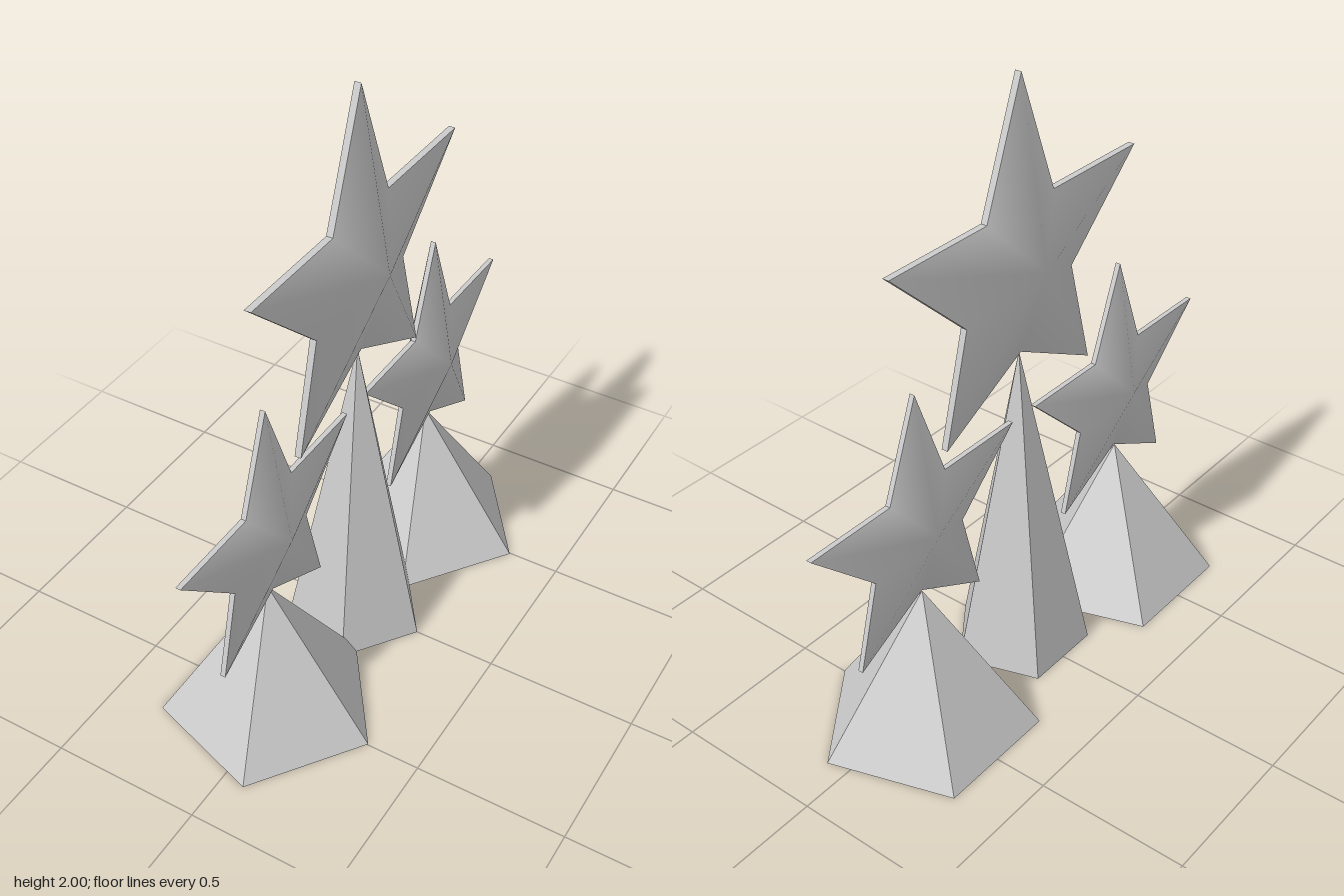
import * as THREE from 'three';

const grey = (extra) => new THREE.MeshStandardMaterial({ color: 0xcccccc, side: THREE.DoubleSide, ...extra });

// Half of the star outline (z, y) around its centre, from top tip to bottom notch
const HALF = [[0, 0.59], [0.155, 0.182], [0.565, 0.182], [0.25, -0.11], [0.348, -0.478], [0, -0.3]];
const OUTLINE = [...HALF, ...HALF.slice(1, -1).reverse().map(([z, y]) => [-z, y])];
const RIM = 0.011, PEAK = 0.107;

function build(positions, index) {
  const g = new THREE.BufferGeometry();
  g.setAttribute('position', new THREE.Float32BufferAttribute(positions, 3));
  g.setIndex(index);
  g.computeVertexNormals();
  return g;
}

// Softly shaded star face, raised to a peak in the middle; side is +1 or -1 along x
function starFace(side) {
  const pos = [side * PEAK, 0, 0], index = [], n = OUTLINE.length;
  OUTLINE.forEach(([z, y], i) => {
    pos.push(side * RIM, y, z);
    const a = 1 + i, b = 1 + (i + 1) % n;
    index.push(0, ...(side > 0 ? [b, a] : [a, b]));
  });
  return build(pos, index);
}

// Thin wall joining the two faces
function starRim() {
  const pos = [], index = [], n = OUTLINE.length;
  OUTLINE.forEach(([z, y], i) => {
    pos.push(RIM, y, z, -RIM, y, z);
    const a = 2 * i, b = 2 * ((i + 1) % n);
    index.push(a, b, a + 1, b, b + 1, a + 1);
  });
  return build(pos, index);
}

function star(name, x, y, z, scale) {
  const group = new THREE.Group();
  group.name = name;
  const add = (part, geometry, material) => {
    const mesh = new THREE.Mesh(geometry, material);
    mesh.name = part;
    group.add(mesh);
  };
  add('starLeftFace', starFace(1), grey());
  add('starRightFace', starFace(-1), grey());
  add('starRim', starRim(), grey({ flatShading: true }));
  group.position.set(x, y, z);
  group.scale.setScalar(scale);
  return group;
}

// Open five-sided pyramid with one corner towards +x
function pyramid(name, radius, height, x, z) {
  const geometry = new THREE.ConeGeometry(radius, height, 5, 1, true, Math.PI / 2);
  const mesh = new THREE.Mesh(geometry, grey({ flatShading: true }));
  mesh.name = name;
  mesh.position.set(x, height / 2, z);
  return mesh;
}

export function createModel() {
  const model = new THREE.Group();
  model.name = 'starTrophy';

  // Tall centre piece
  model.add(pyramid('centrePyramid', 0.233, 1.11, -0.012, 0));
  model.add(star('centreStar', -0.009, 1.41, 0, 1));

  // Matching smaller pieces at front and back
  for (const [label, s] of [['front', 1], ['back', -1]]) {
    model.add(pyramid(label + 'Pyramid', 0.356, 0.515, -0.035, s * 0.497));
    model.add(star(label + 'Star', -0.024, 0.748, s * 0.495, 0.777));
  }
  return model;
}
